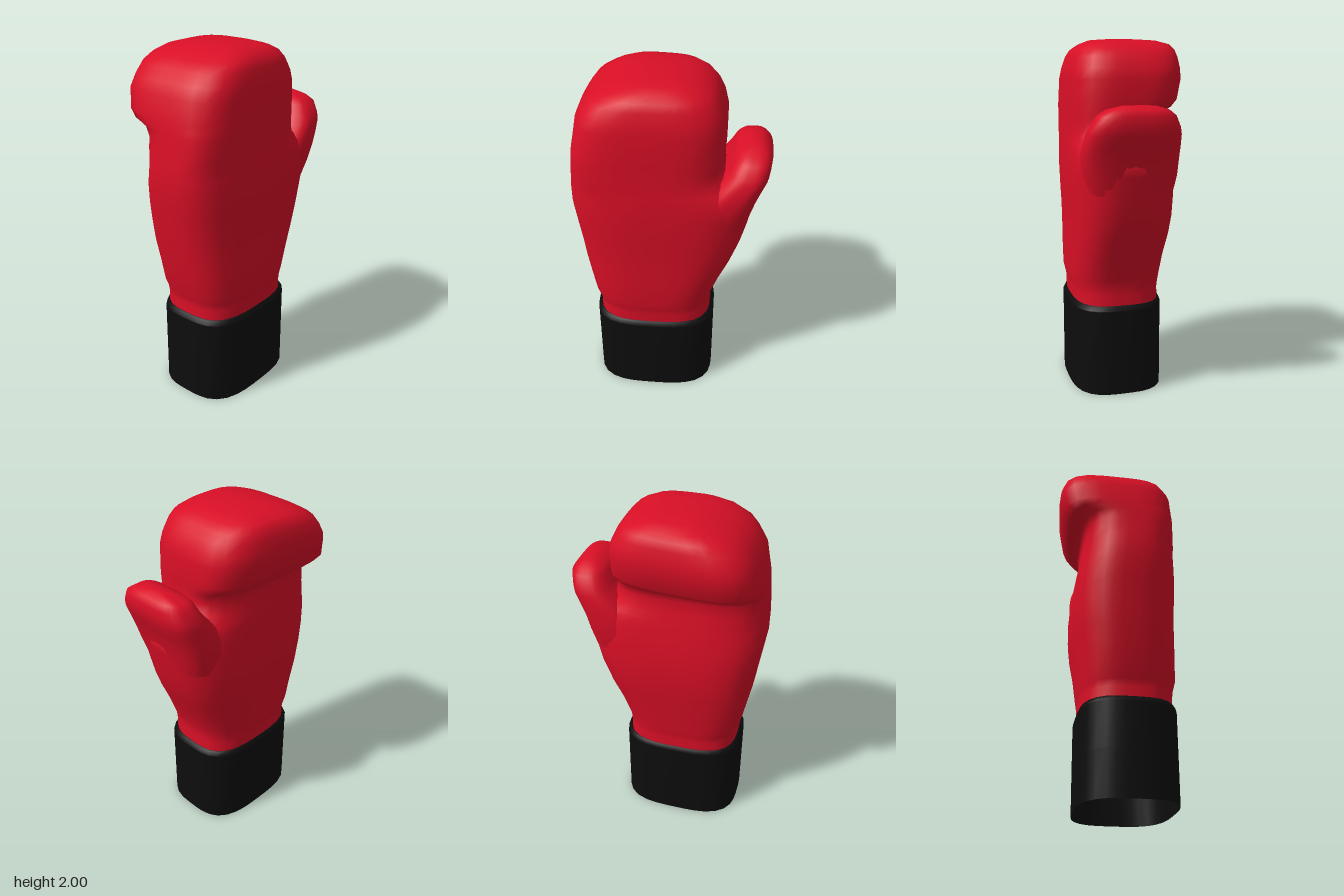
import * as THREE from 'three';

const SEG = 36;

// Lofts rounded-rectangle rings [y, xMin, xMax, zMin, zMax, power, backTilt] from bottom to top.
function loft(rings, capTop) {
  const pos = [], index = [];
  for (const [y, x0, x1, z0, z1, power = 3.2, tilt = 0] of rings) {
    const cx = (x0 + x1) / 2, cz = (z0 + z1) / 2;
    for (let i = 0; i < SEG; i++) {
      const a = (i / SEG) * Math.PI * 2;
      const c = Math.cos(a), s = Math.sin(a);
      // radial superellipse keeps points evenly spread around the corners
      const r = Math.pow(Math.pow(Math.abs(c), power) + Math.pow(Math.abs(s), power), -1 / power);
      const dx = c * r * (x1 - x0) / 2;
      const dz = s * r * (z1 - z0) / 2;
      const back = Math.max(0, -s * r);
      pos.push(cx + dx, y, cz + dz + tilt * dx * back);
    }
  }
  for (let k = 0; k < rings.length - 1; k++) {
    for (let i = 0; i < SEG; i++) {
      const j = (i + 1) % SEG;
      const a = k * SEG + i, b = k * SEG + j, c = a + SEG, d = b + SEG;
      index.push(a, c, b, b, c, d);
    }
  }
  if (capTop) {
    const [y, x0, x1, z0, z1] = rings[rings.length - 1];
    const top = pos.length / 3, base = (rings.length - 1) * SEG;
    pos.push((x0 + x1) / 2, y + 0.003, (z0 + z1) / 2);
    for (let i = 0; i < SEG; i++) index.push(base + i, top, base + (i + 1) % SEG);
  }
  const geo = new THREE.BufferGeometry();
  geo.setAttribute('position', new THREE.Float32BufferAttribute(pos, 3));
  geo.setIndex(index);
  geo.computeVertexNormals();
  return geo;
}

export function createModel() {
  const group = new THREE.Group();
  const red = new THREE.MeshStandardMaterial({ color: 0xd90f26, side: THREE.DoubleSide });
  const black = new THREE.MeshStandardMaterial({ color: 0x0d0d0d, side: THREE.DoubleSide });
  const add = (name, geo, mat) => {
    const mesh = new THREE.Mesh(geo, mat);
    mesh.name = name;
    group.add(mesh);
  };

  // Padded hand: wrist, palm widening towards the thumb, then the curled finger roll
  add('handPadding', loft([
    [0.40, -0.42, 0.245, -0.19, 0.31],
    [0.58, -0.415, 0.24, -0.185, 0.31],
    [0.62, -0.42, 0.242, -0.19, 0.315],
    [0.67, -0.44, 0.25, -0.198, 0.326],
    [0.80, -0.465, 0.30, -0.21, 0.328],
    [0.93, -0.49, 0.36, -0.228, 0.328],
    [1.04, -0.505, 0.40, -0.236, 0.33],
    [1.16, -0.523, 0.43, -0.236, 0.335],
    [1.28, -0.54, 0.455, -0.225, 0.338],
    [1.37, -0.54, 0.475, -0.212, 0.336],
    [1.43, -0.536, 0.39, -0.202, 0.332],
    [1.48, -0.531, 0.305, -0.193, 0.33, 3.4],
    [1.55, -0.525, 0.29, -0.185, 0.328, 3.6],
    [1.60, -0.52, 0.29, -0.20, 0.327, 3.8, 0.03],
    [1.63, -0.517, 0.292, -0.265, 0.327, 4, 0.08],
    [1.67, -0.51, 0.295, -0.305, 0.326, 4, 0.1],
    [1.78, -0.49, 0.295, -0.325, 0.323, 4, 0.1],
    [1.84, -0.455, 0.28, -0.32, 0.313, 4, 0.1],
    [1.90, -0.41, 0.25, -0.308, 0.298, 3.8, 0.1],
    [1.94, -0.345, 0.215, -0.292, 0.28, 3.6, 0.1],
    [1.97, -0.27, 0.16, -0.262, 0.24, 3.4, 0.08],
    [1.99, -0.19, 0.09, -0.19, 0.19, 3.2, 0.05],
    [1.997, -0.12, 0.01, -0.09, 0.10, 3],
  ], true), red);

  // Thumb rising out of the palm
  add('thumb', loft([
    [1.18, 0.10, 0.425, -0.19, 0.28],
    [1.28, 0.13, 0.453, -0.205, 0.305],
    [1.37, 0.17, 0.476, -0.205, 0.318],
    [1.44, 0.22, 0.502, -0.202, 0.315],
    [1.50, 0.275, 0.527, -0.195, 0.305],
    [1.54, 0.305, 0.533, -0.185, 0.292],
    [1.60, 0.335, 0.539, -0.155, 0.255],
    [1.63, 0.36, 0.515, -0.12, 0.21],
    [1.65, 0.41, 0.485, -0.05, 0.13],
  ], true), red);

  // Open wrist cuff with a turned-in upper lip
  add('cuff', loft([
    [0, -0.44, 0.266, -0.203, 0.33],
    [0.25, -0.44, 0.266, -0.203, 0.33],
    [0.495, -0.44, 0.266, -0.203, 0.33],
    [0.50, -0.438, 0.264, -0.201, 0.328],
    [0.523, -0.425, 0.25, -0.193, 0.316],
    [0.523, -0.41, 0.235, -0.18, 0.30],
  ], false), black);

  return group;
}
